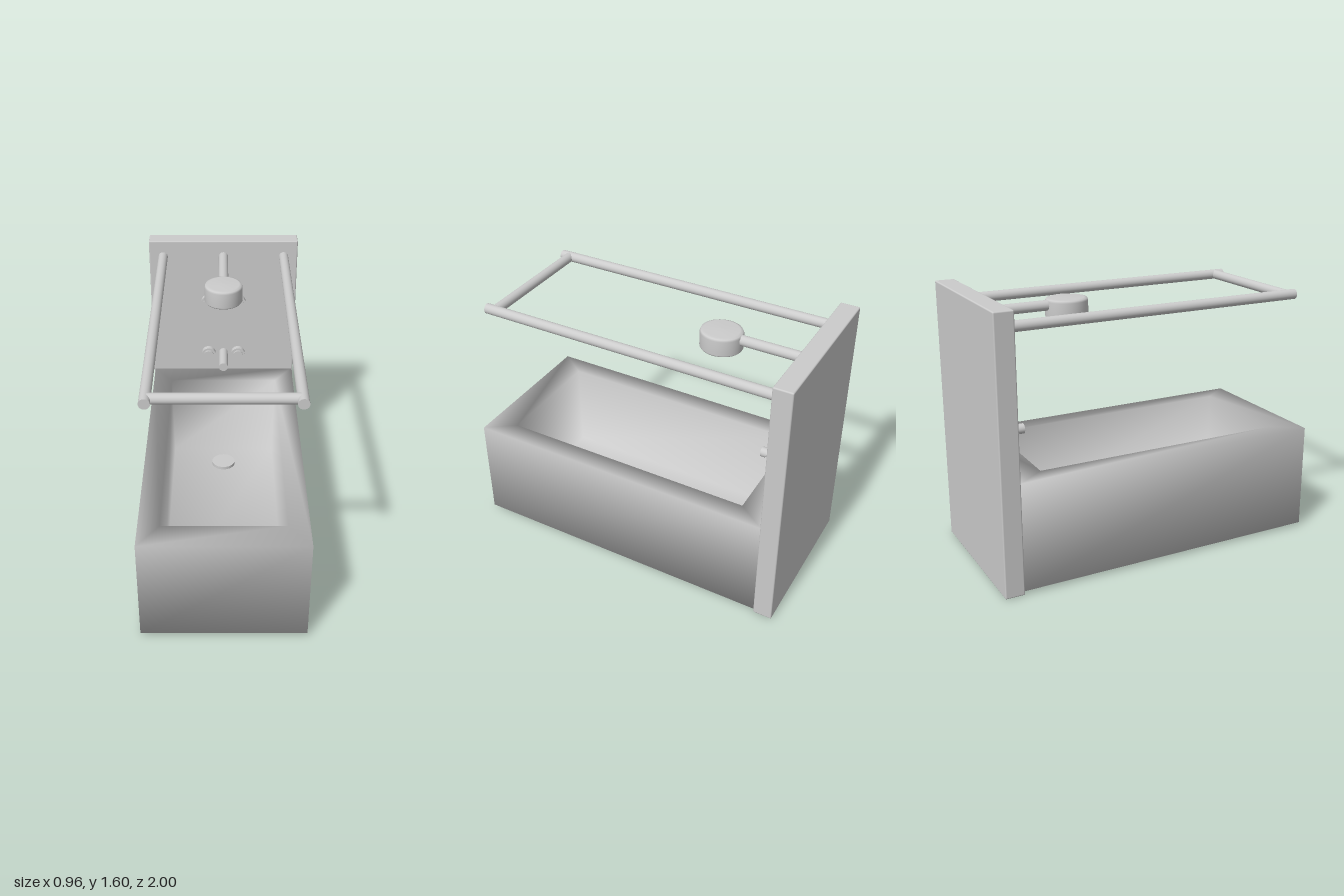
import * as THREE from 'three';
import { RoundedBoxGeometry } from 'three/addons/geometries/RoundedBoxGeometry.js';

const material = new THREE.MeshStandardMaterial({ color: 0xcccccc });

export function createModel() {
  const model = new THREE.Group();

  const add = (name, geometry, x = 0, y = 0, z = 0) => {
    const mesh = new THREE.Mesh(geometry, material);
    mesh.name = name;
    mesh.position.set(x, y, z);
    model.add(mesh);
    return mesh;
  };

  // Round bar running along z between two depths
  const barZ = (name, r, x, y, z0, z1) =>
    add(name, new THREE.CylinderGeometry(r, r, z1 - z0, 32).rotateX(Math.PI / 2), x, y, (z0 + z1) / 2);

  // Wall panel
  add('wallPanel', new RoundedBoxGeometry(0.96, 1.6, 0.115, 2, 0.008), 0, 0.8, -0.9425);

  // Tub: rectangular loops from the underside, up over the rim and down into the basin
  add('tub', tubGeometry());

  // Drain on the basin floor
  add('drain', new THREE.CylinderGeometry(0.077, 0.077, 0.02, 32), 0, 0.11, -0.535);

  // Curtain rail
  for (const side of [-1, 1]) barZ('curtainRailSide', 0.03, side * 0.39, 1.495, -0.89, 0.92);
  add('curtainRailFront', new THREE.CylinderGeometry(0.029, 0.029, 0.78, 32).rotateZ(Math.PI / 2), 0, 1.495, 0.865);

  // Shower arm and slightly oval head with a shallow recess underneath
  barZ('showerArm', 0.03, 0, 1.495, -0.89, -0.45);
  const headProfile = [[0, 0.012], [0.095, 0.012], [0.1, 0], [0.11, 0], [0.115, 0.008],
    [0.115, 0.095], [0.11, 0.107], [0.095, 0.112], [0, 0.114]];
  const head = new THREE.LatheGeometry(headProfile.map(([r, y]) => new THREE.Vector2(r, y)), 48);
  add('showerHead', head.scale(1, 1, 1.08), 0, 1.42, -0.385);

  // Two pairs of taps: base disc and smaller cap
  for (const y of [0.79, 1.18]) {
    for (const side of [-1, 1]) {
      barZ('tapBase', 0.047, side * 0.1, y, -0.89, -0.849);
      barZ('tapCap', 0.033, side * 0.1, y, -0.86, -0.836);
    }
  }

  // Spout with a notch cut into its underside near the tip
  const spout = new THREE.CylinderGeometry(0.03, 0.03, 0.215, 32, 40).rotateX(Math.PI / 2);
  const p = spout.attributes.position;
  for (let i = 0; i < p.count; i++) {
    const t = (p.getZ(i) - 0.045) / 0.035;
    if (Math.abs(t) < 1) p.setY(i, Math.max(p.getY(i), -0.03 + 0.03 * Math.sqrt(1 - t * t)));
  }
  spout.computeVertexNormals();
  add('spout', spout, 0, 0.79, -0.7825);

  return model;
}

function tubGeometry() {
  // Each loop: half width, back z, front z, height
  const loops = [
    [0.472, -0.89, 1, 0.02],
    [0.472, -0.89, 1, 0.66],
    [0.35, -0.72, 0.83, 0.66],
    [0.343, -0.713, 0.822, 0.1],
  ];
  const positions = [];
  const index = [];
  for (const [w, back, front, y] of loops) {
    positions.push(-w, y, front, w, y, front, w, y, back, -w, y, back);
  }
  for (let k = 0; k < loops.length - 1; k++) {
    for (let i = 0; i < 4; i++) {
      const a = k * 4 + i, b = k * 4 + (i + 1) % 4;
      index.push(a, b, b + 4, a, b + 4, a + 4);
    }
  }
  // Underside and basin floor
  index.push(0, 2, 1, 0, 3, 2);
  const f = (loops.length - 1) * 4;
  index.push(f, f + 1, f + 2, f, f + 2, f + 3);

  const geometry = new THREE.BufferGeometry();
  geometry.setAttribute('position', new THREE.Float32BufferAttribute(positions, 3));
  geometry.setIndex(index);
  geometry.computeVertexNormals();
  return geometry;
}
